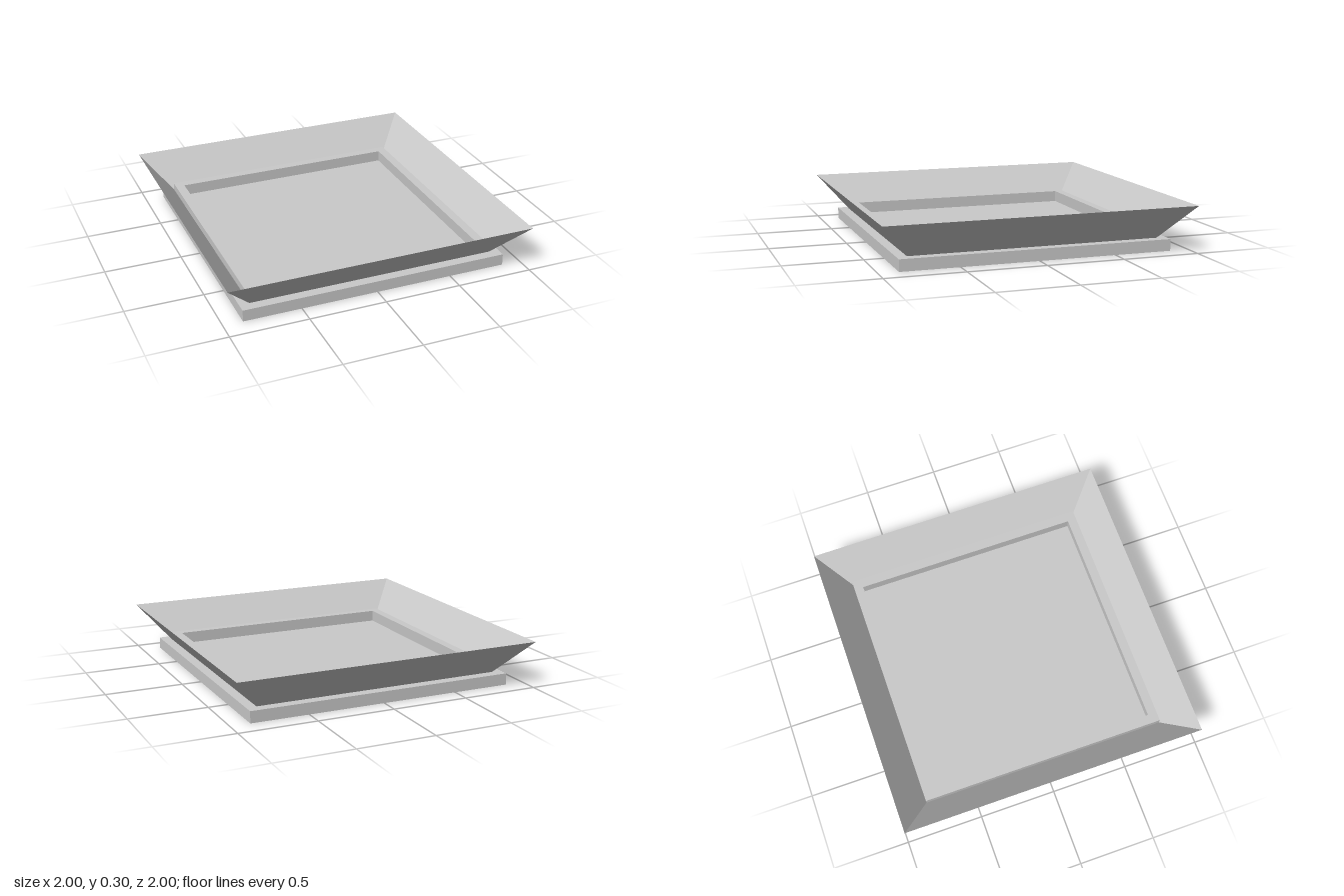
import * as THREE from 'three';

const BASE_H = 0.075;
const TOP_H = 0.3;
const RIM_FOOT = 0.81; // half width where the flared rim meets the base

// Cross-section of the base as [half width, height], from the underside's
// centre round the step and the raised lip to the centre of the sunken floor
const BASE_PROFILE = [
  [0, 0], [0.875, 0], [0.875, BASE_H], [RIM_FOOT, BASE_H],
  [RIM_FOOT, 0.125], [0.75, 0.125], [0.75, 0.05], [0, 0.05],
];

// Sweeps a profile round a square, with flat faces and mitred corners.
function squareSweep(profile) {
  const points = profile.map(([half, y]) => new THREE.Vector2(half * Math.SQRT2, y));
  const geometry = new THREE.LatheGeometry(points, 4, Math.PI / 4).toNonIndexed();
  geometry.computeVertexNormals();
  return geometry;
}

export function createModel() {
  const group = new THREE.Group();
  group.name = 'squareTray';

  const grey = new THREE.MeshStandardMaterial({
    color: 0xcacaca, flatShading: true, side: THREE.DoubleSide,
  });
  grey.name = 'light grey';

  const add = (name, profile) => {
    const mesh = new THREE.Mesh(squareSweep(profile), grey);
    mesh.name = name;
    group.add(mesh);
  };

  // Stepped base with a raised lip round a sunken floor
  add('base', BASE_PROFILE);

  // Four thin walls flaring outwards from the step
  add('flaredRim', [[RIM_FOOT, BASE_H], [1, TOP_H]]);

  return group;
}
